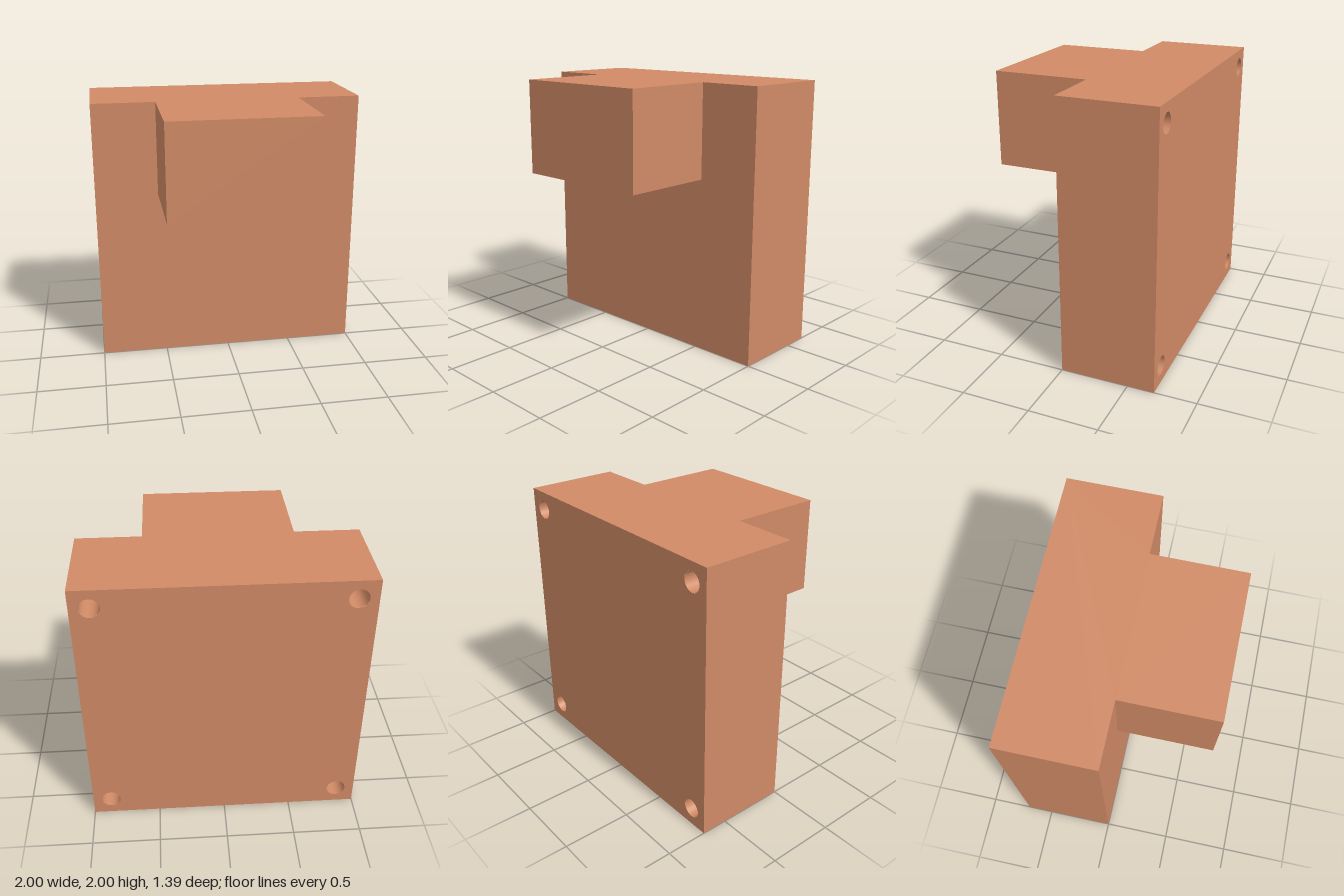
import * as THREE from 'three';
import { mergeGeometries } from 'three/addons/utils/BufferGeometryUtils.js';

const D = 0.695;             // half of the full depth
const W = 0.533;             // half width of the front block
const B = 2 - D;             // underside of the front block
const HOLE = { r: 0.07, at: 0.865, depth: 0.4, segments: 32 };
const COLOR = 0xd08a66;

// Flat polygon from outline points (anticlockwise), turned and moved into place
function panel(points, { rx = 0, ry = 0, x = 0, y = 0, z = 0, holes = [] } = {}) {
  const shape = new THREE.Shape(points.map(([u, v]) => new THREE.Vector2(u, v)));
  shape.holes.push(...holes);
  return new THREE.ShapeGeometry(shape, HOLE.segments).rotateX(rx).rotateY(ry).translate(x, y, z);
}

const rect = (u0, v0, u1, v1) => [[u0, v0], [u1, v0], [u1, v1], [u0, v1]];

export function createModel() {
  const group = new THREE.Group();
  const solid = new THREE.MeshStandardMaterial({ color: COLOR });
  const inside = new THREE.MeshStandardMaterial({ color: COLOR, side: THREE.BackSide });
  const add = (name, geometry, material = solid) => {
    const mesh = new THREE.Mesh(geometry, material);
    mesh.name = name;
    group.add(mesh);
  };
  const Q = Math.PI / 2;

  const centres = [-1, 1].flatMap((sx) => [-1, 1].map((sy) => [sx * HOLE.at, 1 + sy * HOLE.at]));
  const holes = centres.map(([x, y]) => new THREE.Path().absarc(x, y, HOLE.r, 0, Math.PI * 2, true));

  // Main slab, with the front notched where the block joins
  add('slab', mergeGeometries([
    panel([[-1, 0], [1, 0], [1, 2], [W, 2], [W, B], [-W, B], [-W, 2], [-1, 2]]),
    panel(rect(-1, 0, 1, 2), { ry: Math.PI, z: -D, holes }),
    panel(rect(0, 0, D, 2), { ry: Q, x: 1 }),
    panel(rect(-D, 0, 0, 2), { ry: -Q, x: -1 }),
    panel(rect(-1, -D, 1, 0), { rx: Q }),
  ]));

  // T-shaped top shared by slab and block
  add('top', panel(
    [[-W, -D], [W, -D], [W, 0], [1, 0], [1, D], [-1, D], [-1, 0], [-W, 0]],
    { rx: -Q, y: 2 },
  ));

  // Block projecting from the upper front
  add('frontBlock', mergeGeometries([
    panel(rect(-W, B, W, 2), { z: D }),
    panel(rect(-D, B, 0, 2), { ry: Q, x: W }),
    panel(rect(0, B, D, 2), { ry: -Q, x: -W }),
    panel(rect(-W, 0, W, D), { rx: Q, y: B }),
  ]));

  // Blind mounting holes in the corners of the back
  centres.forEach(([x, y], i) => {
    add(`mountingHoleWall${i + 1}`,
      new THREE.CylinderGeometry(HOLE.r, HOLE.r, HOLE.depth, HOLE.segments, 1, true)
        .rotateX(Q).translate(x, y, -D + HOLE.depth / 2), inside);
    add(`mountingHoleFloor${i + 1}`,
      new THREE.CircleGeometry(HOLE.r, HOLE.segments).rotateY(Math.PI).translate(x, y, -D + HOLE.depth));
  });

  return group;
}
